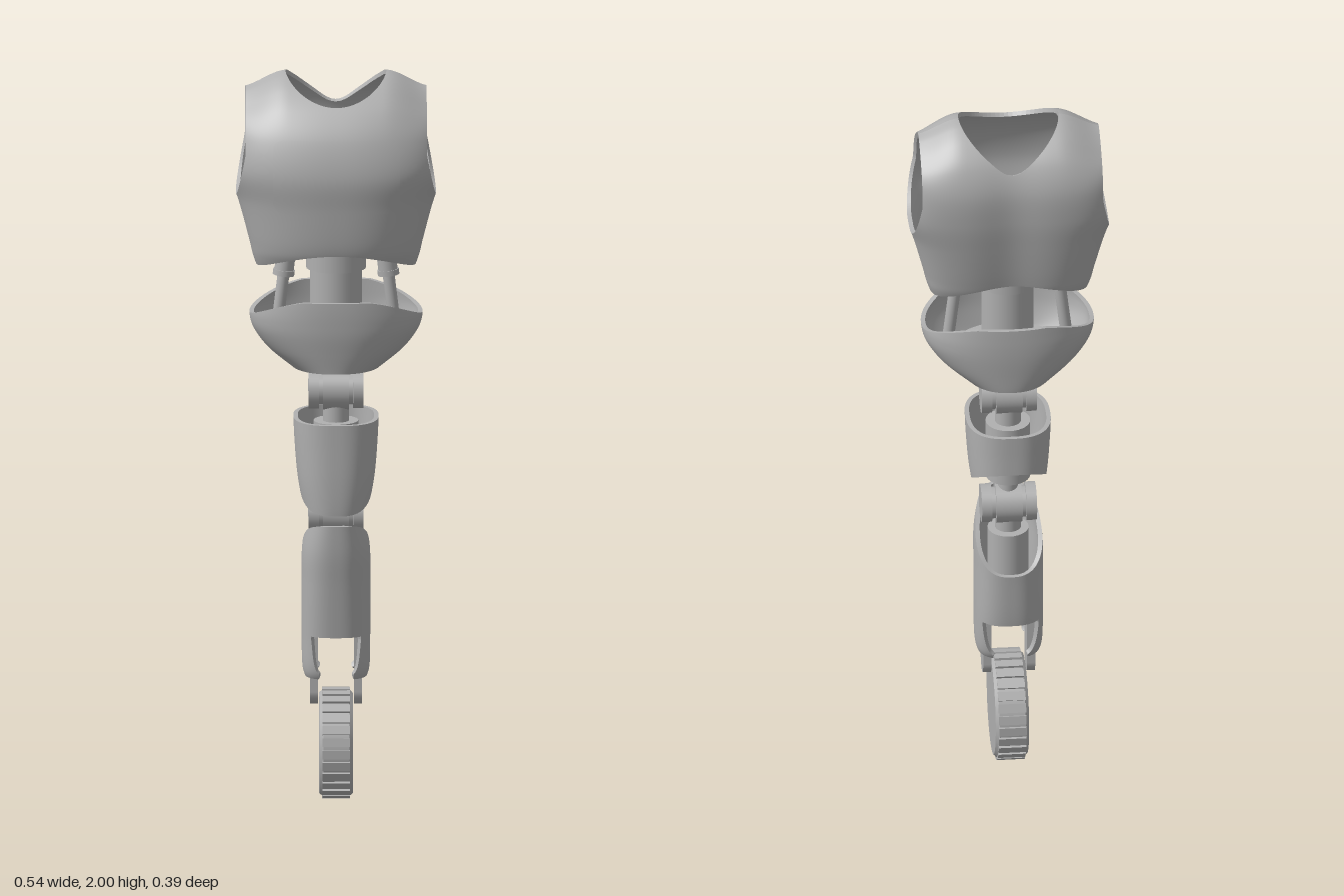
import * as THREE from 'three';

const grey = new THREE.MeshStandardMaterial({ color: 0xb0b0b0, side: THREE.DoubleSide });
grey.name = 'plain grey';

const { lerp, clamp, smoothstep } = THREE.MathUtils;

// Smooth interpolation through table rows at t = 0..1
function sampleRows(rows, t) {
  const f = t * (rows.length - 1), i = Math.min(Math.floor(f), rows.length - 2), s = f - i;
  const row = (k) => rows[clamp(k, 0, rows.length - 1)];
  return rows[0].map((_, c) => {
    const a = row(i - 1)[c], b = row(i)[c], d = row(i + 1)[c], e = row(i + 2)[c];
    return b + 0.5 * s * (d - a + s * (2 * a - 5 * b + 4 * d - e + s * (3 * (b - d) + e - a)));
  });
}

// Thick shell lofted through rows [y, half width, front z, back z],
// trimmed where keep(p) < 0, with a rim along every trimmed edge
function shell(name, { rows, keep, thick = 0.012, offset = 0, nf = 2.3, nb = 2.3, nu = 120, nv = 60, warp }) {
  const pts = [], index = [];
  for (let j = 0; j <= nv; j++) {
    const [y, w, zf, zb] = sampleRows(rows, j / nv);
    const zm = (zf + zb) / 2, h = (zf - zb) / 2;
    for (let i = 0; i < nu; i++) {
      const a = (i / nu) * Math.PI * 2, c = Math.cos(a), s = Math.sin(a), n = s > 0 ? nf : nb;
      const r = Math.pow(Math.abs(c) ** n + Math.abs(s) ** n, -1 / n);
      const p = new THREE.Vector3(w * c * r, y, zm + h * s * r);
      if (warp) warp(p, s);
      pts.push(p);
      if (j < nv) {
        const k = (i + 1) % nu, A = j * nu + i, B = A + nu, C = (j + 1) * nu + k, D = j * nu + k;
        index.push(A, B, C, A, C, D);
      }
    }
  }
  const grid = new THREE.BufferGeometry().setFromPoints(pts);
  grid.setIndex(index);
  grid.computeVertexNormals();
  const verts = pts.map((p0, i) => {
    const n = new THREE.Vector3().fromBufferAttribute(grid.attributes.normal, i);
    const p = p0.clone().addScaledVector(n, offset);
    return { p, n, q: p.clone().addScaledVector(n, -thick), f: keep(p) };
  });
  const mix = (A, B) => {
    const t = A.f / (A.f - B.f);
    return { p: A.p.clone().lerp(B.p, t), q: A.q.clone().lerp(B.q, t), n: A.n.clone().lerp(B.n, t).normalize() };
  };
  const pos = [], nor = [];
  const put = (p, n, sign = 1) => {
    pos.push(p.x, p.y, p.z);
    nor.push(n.x * sign, n.y * sign, n.z * sign);
  };
  for (let k = 0; k < index.length; k += 3) {
    const tri = [0, 1, 2].map((e) => verts[index[k + e]]), poly = [];
    let leave, enter;
    tri.forEach((A, e) => {
      const B = tri[(e + 1) % 3];
      if (A.f >= 0) poly.push(A);
      if (A.f >= 0 !== B.f >= 0) {
        const m = mix(A, B);
        poly.push(m);
        if (A.f >= 0) leave = m; else enter = m;
      }
    });
    for (let e = 1; e + 1 < poly.length; e++) {
      for (const v of [poly[0], poly[e], poly[e + 1]]) put(v.p, v.n);
      for (const v of [poly[0], poly[e + 1], poly[e]]) put(v.q, v.n, -1);
    }
    if (leave) {
      const n = leave.p.clone().sub(enter.p).cross(leave.q.clone().sub(enter.p)).normalize();
      for (const p of [enter.p, leave.p, leave.q, enter.p, leave.q, enter.q]) put(p, n);
    }
  }
  const g = new THREE.BufferGeometry();
  g.setAttribute('position', new THREE.Float32BufferAttribute(pos, 3));
  g.setAttribute('normal', new THREE.Float32BufferAttribute(nor, 3));
  return mesh(name, g);
}

function mesh(name, geometry, x = 0, y = 0, z = 0) {
  const m = new THREE.Mesh(geometry, grey);
  m.name = name;
  m.position.set(x, y, z);
  return m;
}
// Upright cylinder between two heights
const post = (name, r, y0, y1, x = 0, z = 0) =>
  mesh(name, new THREE.CylinderGeometry(r, r, y1 - y0, 32), x, (y0 + y1) / 2, z);
// Cylinder lying along x
const axle = (name, r0, r1, w, x, y, z, n = 40) =>
  mesh(name, new THREE.CylinderGeometry(r0, r1, w, n).rotateZ(-Math.PI / 2), x, y, z);

// Hinge with a central drum and two outer discs
function joint(name, y, z) {
  const g = new THREE.Group();
  g.name = name;
  g.add(axle('hingeDrum', 0.055, 0.055, 0.07, 0, y, z), axle('hingePin', 0.042, 0.042, 0.13, 0, y, z));
  for (const s of [-1, 1]) g.add(axle('hingeDisc', 0.052, 0.052, 0.028, s * 0.06, y, z));
  g.add(post('hingeStemUpper', 0.027, y, y + 0.1, 0, z), post('hingeStemLower', 0.035, y - 0.1, y, 0, z));
  return g;
}

export function createModel() {
  const model = new THREE.Group();
  model.name = 'oneWheeledRobotBody';

  // Chest shell with neck hole, arm holes and arched hem
  const chest = {
    rows: [
      [1.44, 0.2, 0.1, -0.11], [1.5, 0.222, 0.145, -0.145], [1.55, 0.234, 0.165, -0.16],
      [1.66, 0.264, 0.178, -0.18], [1.75, 0.3, 0.185, -0.192], [1.84, 0.3, 0.163, -0.192],
      [1.91, 0.3, 0.12, -0.168], [1.96, 0.29, 0.065, -0.125], [1.99, 0.28, 0.01, -0.075],
      [2.0, 0.27, -0.035, -0.035],
    ],
    nf: 2.3, nb: 3.6, nu: 160, nv: 90,
    warp: (p, s) => {
      p.y -= 0.045 * smoothstep(Math.abs(p.x), 0.13, 0.26) * smoothstep(p.y, 1.8, 2);
      if (s < 0) p.z += 0.013 * Math.exp(-((p.x / 0.08) ** 2)) * -s;
    },
  };
  model.add(shell('chestShell', {
    ...chest,
    keep: (p) => {
      const arm = lerp(0.27, 0.243, Math.min((p.y - 1.66) / 0.14, 1)) - Math.abs(p.x);
      const neck = p.y > 1.8 ? Math.hypot(p.x, p.z + 0.03) - 0.135 : 1;
      return Math.min(arm, neck, p.y - 1.53 + 0.05 * (p.x / 0.21) ** 2);
    },
  }));
  // Raised rounded panel following the chest
  model.add(shell('chestPanel', {
    ...chest, offset: 0.011, thick: 0.012,
    keep: (p) => {
      const dx = Math.max(Math.abs(p.x) - 0.14, 0), dy = Math.max(Math.abs(p.y - 1.75) - 0.07, 0);
      return p.z > 0 ? 0.03 - Math.hypot(dx, dy) : -0.1;
    },
  }));
  const bowl = new THREE.SphereGeometry(1, 40, 12, 0, Math.PI * 2, Math.PI / 2, Math.PI / 2);
  model.add(mesh('chestFloor', bowl.scale(0.235, 0.1, 0.16), 0, 1.64, -0.003));

  // Waist column and side struts
  model.add(post('waistCollar', 0.08, 1.465, 1.58), post('waistColumn', 0.07, 1.22, 1.5));
  for (const s of [-1, 1]) {
    const strut = new THREE.Group();
    strut.name = 'waistStrut';
    strut.add(post('strutSleeve', 0.026, 0.08, 0.2), post('strutCap', 0.029, 0.075, 0.09), post('strutRod', 0.016, -0.1, 0.1));
    strut.position.set(s * 0.15, 1.37, 0);
    strut.rotation.z = s * 0.12;
    model.add(strut);
  }

  // Pelvis bowl, raised at front and back
  model.add(shell('pelvisShell', {
    rows: [
      [1.17, 0.08, 0.13, -0.14], [1.2, 0.12, 0.135, -0.148], [1.25, 0.182, 0.145, -0.154],
      [1.3, 0.22, 0.154, -0.159], [1.34, 0.232, 0.158, -0.161], [1.38, 0.228, 0.16, -0.161],
      [1.43, 0.215, 0.16, -0.16],
    ],
    nf: 2.2, nb: 2.2,
    keep: (p) => Math.min(p.y - 1.2, 1.345 + 0.055 * Math.min((p.z / 0.15) ** 2, 1) - p.y),
  }));
  model.add(mesh('pelvisFloor', new THREE.CylinderGeometry(1, 1, 0.02, 40).scale(0.15, 1, 0.13), 0, 1.25, -0.005));

  model.add(joint('hipJoint', 1.125, -0.02));

  // Thigh sleeve with slanted lower edge
  model.add(post('thighCore', 0.06, 0.87, 1.04, 0, -0.02));
  model.add(shell('thighShell', {
    rows: [
      [0.76, 0.075, 0.11, -0.12], [0.82, 0.09, 0.117, -0.138], [0.9, 0.104, 0.12, -0.146],
      [1.0, 0.112, 0.12, -0.146], [1.08, 0.115, 0.12, -0.146],
    ],
    nf: 2.6, nb: 2.6, nu: 96, nv: 40,
    keep: (p) => Math.min(1.055 - p.y, p.y - 0.805 - 0.135 * Math.max((0.115 - p.z) / 0.26, 0) ** 1.2),
  }));

  model.add(joint('kneeJoint', 0.785, -0.022));

  // Shin sleeve, scooped at the back and slotted for the wheel
  model.add(post('shinCore', 0.055, 0.5, 0.71, 0, -0.025));
  model.add(shell('shinShell', {
    rows: [
      [0.32, 0.07, 0.03, -0.08], [0.36, 0.089, 0.058, -0.11], [0.46, 0.092, 0.071, -0.131],
      [0.6, 0.092, 0.09, -0.14], [0.7, 0.09, 0.104, -0.145], [0.81, 0.07, 0.111, -0.145],
    ],
    nf: 2.6, nb: 2.6, nu: 120, nv: 70,
    keep: (p) => {
      const scoop = 0.775 - 0.155 * Math.max((0.11 - p.z) / 0.25, 0) ** 1.5 - p.y;
      const prong = Math.min(Math.abs(p.x) - 0.046, 0.05 - p.z, p.z + 0.1);
      return Math.min(p.y - 0.34, scoop, Math.max(p.y - 0.46, prong));
    },
  }));

  // Fork arms with rounded ends
  for (const s of [-1, 1]) {
    model.add(mesh('forkArm', new THREE.BoxGeometry(0.022, 0.19, 0.08), s * 0.059, 0.395, -0.02));
    model.add(axle('forkEnd', 0.04, 0.04, 0.022, s * 0.059, 0.3, -0.02));
  }

  // Wheel with bevelled faces and tread blocks
  const wheel = new THREE.Group();
  wheel.name = 'wheel';
  wheel.position.set(0, 0.152, -0.02);
  wheel.add(axle('tyre', 0.144, 0.144, 0.07, 0, 0, 0, 64));
  wheel.add(axle('wheelBevelLeft', 0.135, 0.144, 0.01, 0.04, 0, 0, 64));
  wheel.add(axle('wheelBevelRight', 0.144, 0.135, 0.01, -0.04, 0, 0, 64));
  for (let i = 0; i < 28; i++) {
    const block = mesh('treadBlock', new THREE.BoxGeometry(0.074, 0.012, 0.024).translate(0, 0.144, 0));
    block.rotation.x = (i / 28) * Math.PI * 2;
    wheel.add(block);
  }
  model.add(wheel);
  return model;
}
